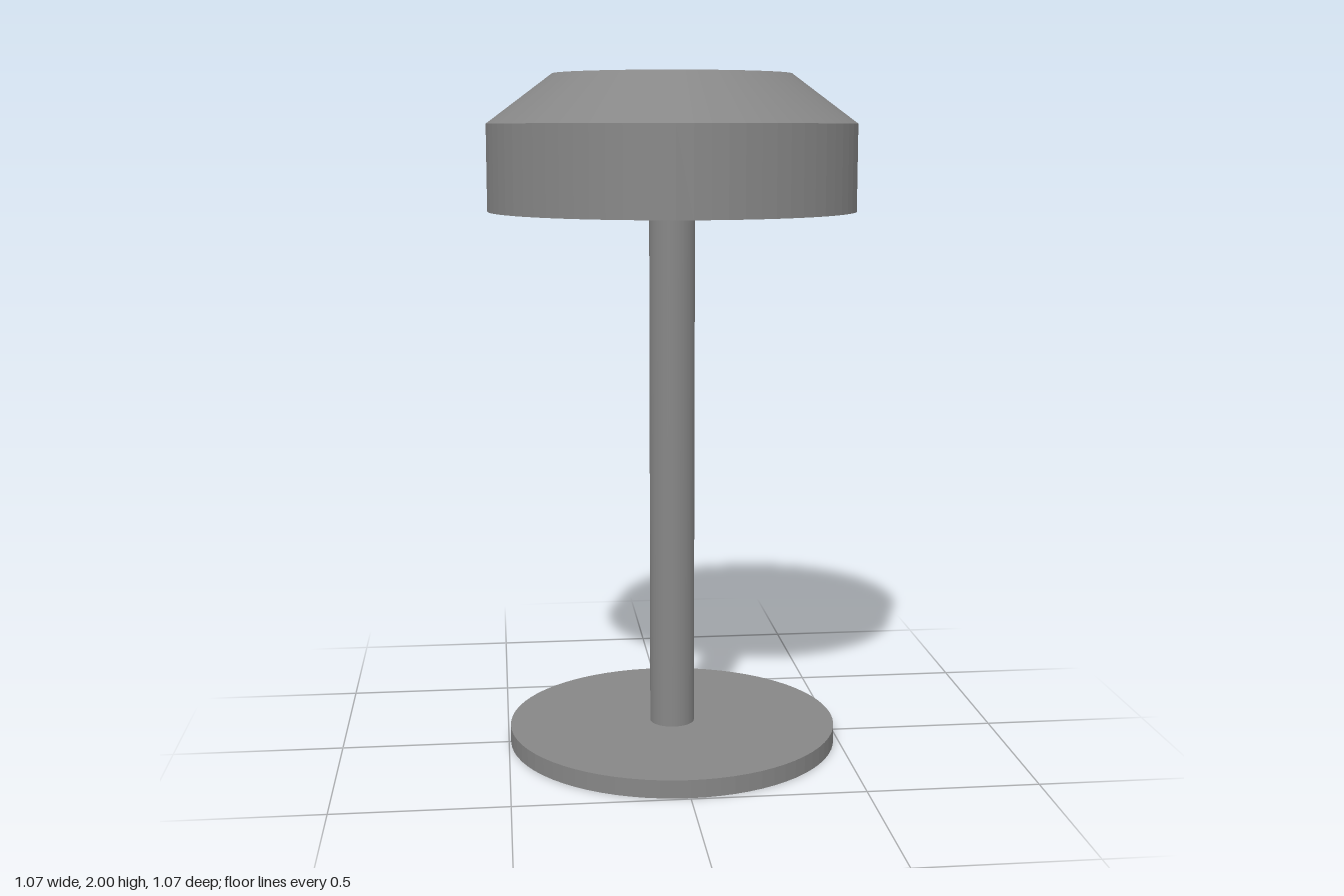
import * as THREE from 'three';

const SEGMENTS = 72;

export function createModel() {
  const group = new THREE.Group();
  const material = new THREE.MeshStandardMaterial({ color: 0x868686, flatShading: true });

  // Upright round part spanning bottom..top, optionally without end caps
  const addRound = (name, rTop, rBottom, bottom, top, open = false) => {
    const geometry = new THREE.CylinderGeometry(rTop, rBottom, top - bottom, SEGMENTS, 1, open);
    geometry.translate(0, (bottom + top) / 2, 0);
    const mesh = new THREE.Mesh(geometry, material);
    mesh.name = name;
    group.add(mesh);
  };

  // Flat disc foot and slim stem
  addRound('base', 0.494, 0.494, 0, 0.053);
  addRound('pole', 0.067, 0.067, 0.053, 1.608, true);

  // Closed head: flat underside, straight drum, sloping shoulder and flat top
  const profile = [[0, 1.608], [0.537, 1.608], [0.537, 1.858], [0.346, 2], [0, 2]];
  const points = profile.map(([x, y]) => new THREE.Vector2(x, y));
  const shade = new THREE.Mesh(new THREE.LatheGeometry(points, SEGMENTS), material);
  shade.name = 'shade';
  group.add(shade);

  return group;
}
